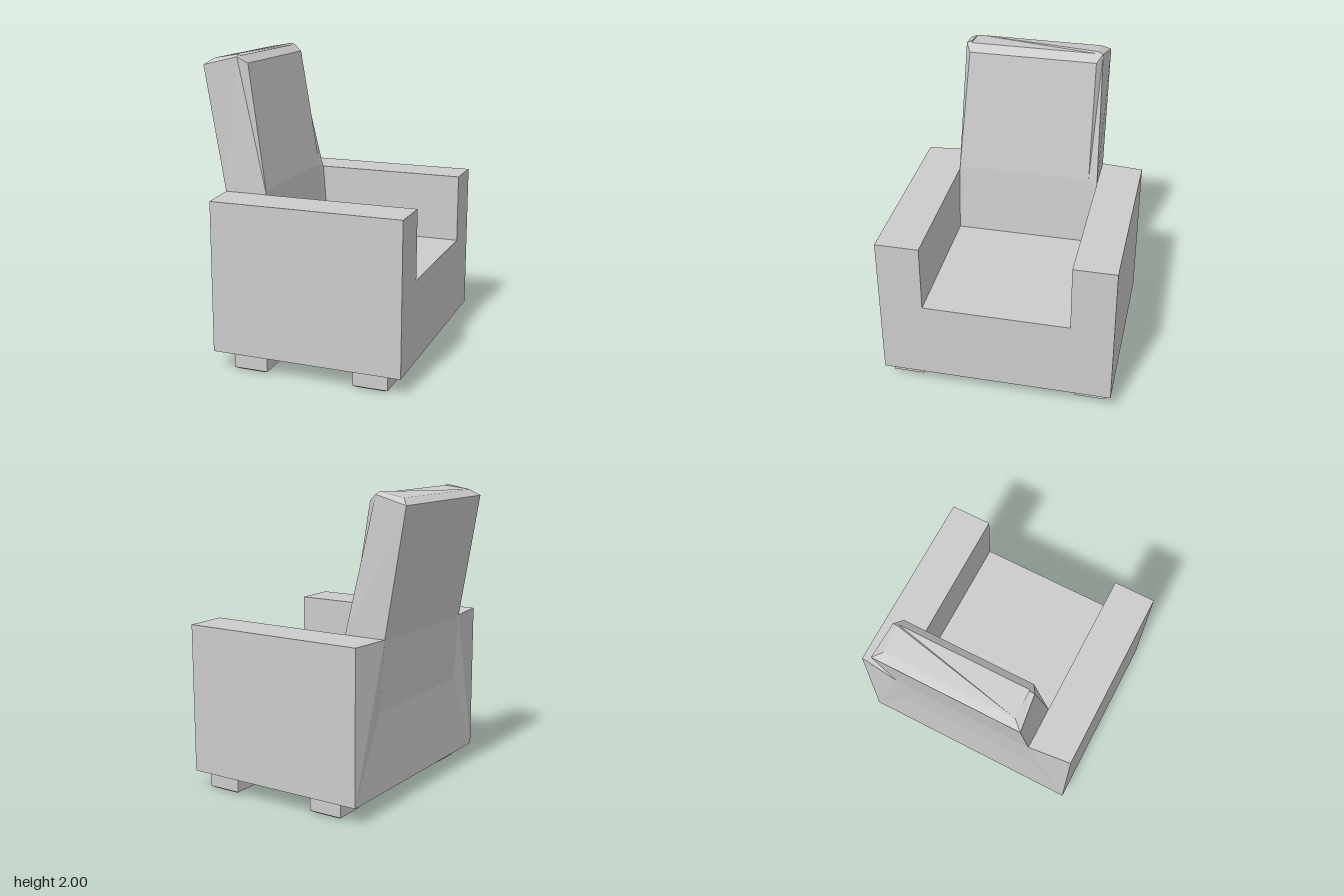
import * as THREE from 'three';

const material = new THREE.MeshStandardMaterial({ color: 0xcccccc, flatShading: true });

// Closed, faceted solid through stacked rings of [x, y, z] points
// (each ring counterclockwise when looked at from above).
function loft(rings) {
  const n = rings[0].length;
  const index = [];
  for (let r = 0; r < rings.length - 1; r++) {
    for (let i = 0; i < n; i++) {
      const a = r * n + i, b = r * n + (i + 1) % n;
      index.push(a, b, b + n, a, b + n, a + n);
    }
  }
  const top = (rings.length - 1) * n;
  for (let i = 1; i < n - 1; i++) {
    index.push(0, i + 1, i, top, top + i, top + i + 1);
  }
  const geo = new THREE.BufferGeometry();
  geo.setAttribute('position', new THREE.Float32BufferAttribute(rings.flat(2), 3));
  geo.setIndex(index);
  const flat = geo.toNonIndexed();
  flat.computeVertexNormals();
  return flat;
}

function addMesh(parent, name, geometry) {
  const mesh = new THREE.Mesh(geometry, material);
  mesh.name = name;
  parent.add(mesh);
  return mesh;
}

// Seat block and both arms: a U profile swept from back to front
function bodyGeometry() {
  const back = -0.55, front = 0.715, seatY = 0.66, armY = 1.115;
  const profile = [
    [-0.765, 0.12], [0.77, 0.12], [0.77, armY], [0.49, armY],
    [0.49, seatY], [-0.478, seatY], [-0.478, armY], [-0.765, armY],
  ].map(([x, y]) => new THREE.Vector2(x, y));
  const geo = new THREE.ExtrudeGeometry(new THREE.Shape(profile), {
    depth: front - back, bevelEnabled: false,
  });
  geo.rotateY(Math.PI / 2).translate(back, 0, 0);
  // The inner top corners of the arms lean back to meet the backrest
  const p = geo.attributes.position;
  for (let i = 0; i < p.count; i++) {
    if (p.getX(i) < back + 0.01 && p.getY(i) > 1 && Math.abs(p.getZ(i)) < 0.6) p.setX(i, -0.58);
  }
  geo.computeVertexNormals();
  return geo;
}

// Leaning backrest; each level lists rear, side front and front panel corners
function backrestGeometry() {
  const levels = [
    [[-0.55, 0.66, 0.484], [-0.255, 0.66, 0.484], [-0.255, 0.66, 0.43]],
    [[-0.58, 1.112, 0.484], [-0.29, 1.10, 0.484], [-0.298, 1.14, 0.425]],
    [[-0.72, 1.93, 0.484], [-0.495, 1.985, 0.46], [-0.435, 1.945, 0.425]],
    [[-0.67, 1.97, 0.425], [-0.5, 2.0, 0.425], [-0.488, 1.99, 0.425]],
  ];
  const mirror = ([x, y, z]) => [x, y, -z];
  return loft(levels.map((half) => [...half, ...half.map(mirror).reverse()]));
}

// Short block foot with a bevelled underside
function footGeometry(width, depth) {
  const ring = (y, inset) => {
    const x = width / 2 - inset, z = depth / 2 - inset;
    return [[-x, y, z], [x, y, z], [x, y, -z], [-x, y, -z]];
  };
  return loft([ring(0, 0.03), ring(0.018, 0), ring(0.12, 0)]);
}

export function createModel() {
  const chair = new THREE.Group();
  chair.name = 'armchair';

  addMesh(chair, 'seatAndArms', bodyGeometry());
  addMesh(chair, 'backrest', backrestGeometry()).position.z = -0.006;

  // Four feet
  const foot = footGeometry(0.23, 0.207);
  for (const [xName, x] of [['back', -0.302], ['front', 0.508]]) {
    for (const [zName, z] of [['Right', 0.629], ['Left', -0.624]]) {
      addMesh(chair, `${xName}${zName}Foot`, foot).position.set(x, 0, z);
    }
  }
  return chair;
}
